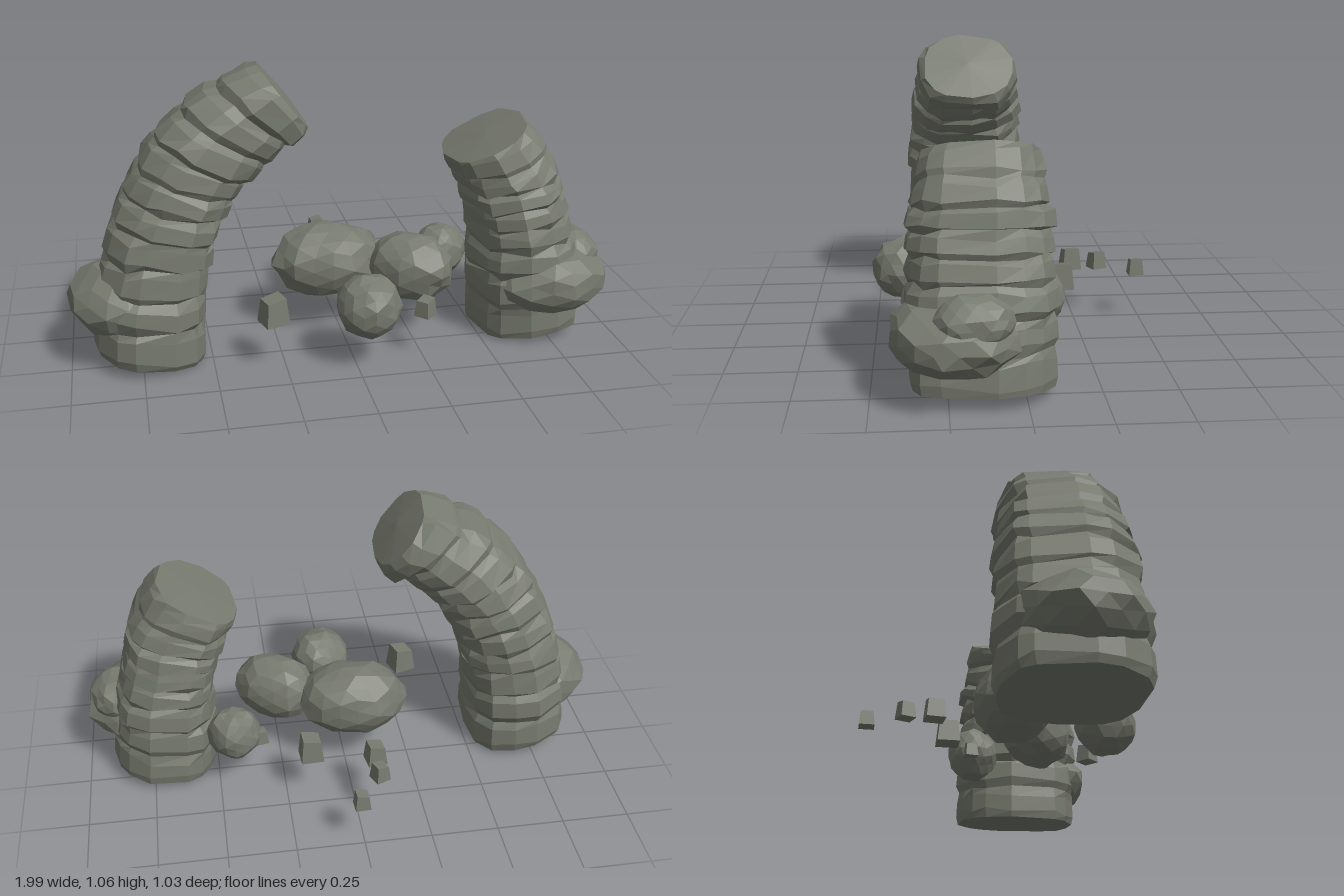
import * as THREE from 'three';

const stone = new THREE.MeshStandardMaterial({ color: 0x777a6f });
stone.name = 'grey stone';

// Repeatable value in -1..1 from three numbers
function noise(a, b, c) {
  const s = Math.sin(a * 127.1 + b * 311.7 + c * 74.7) * 43758.5453;
  return (s - Math.floor(s)) * 2 - 1;
}

function faceted(geometry, name) {
  const flat = geometry.index ? geometry.toNonIndexed() : geometry;
  flat.computeVertexNormals();
  const mesh = new THREE.Mesh(flat, stone);
  mesh.name = name;
  return mesh;
}

// Layered, leaning column. Each section is [x0, y0, x1, y1, centreZ, halfZ]:
// its two edge points in the front plane and its depth.
function column(name, sections, layers, seed) {
  const sides = 14;
  const curve = (a, b) => new THREE.CatmullRomCurve3(
    sections.map(s => new THREE.Vector3(s[a], s[b], 0)));
  const edge0 = curve(0, 1), edge1 = curve(2, 3);
  const depth = new THREE.CatmullRomCurve3(sections.map(s => new THREE.Vector3(s[4], s[5], 0)));

  // Three rings to a layer: recessed seam, bulging rim, upper shoulder
  const rings = [];
  for (let i = 0; i < layers; i++) {
    const bulge = 0.03 * noise(i, seed, 1);
    rings.push([i / layers, 0.965], [(i + 0.22) / layers, 1.04 + bulge], [(i + 0.75) / layers, 1.02 + bulge]);
  }
  rings[0][1] = 1;
  rings.push([1, 0.95]);

  const pos = [], index = [];
  const roundish = v => Math.sign(v) * Math.pow(Math.abs(v), 0.78);
  rings.forEach(([t, scale], r) => {
    const p = edge0.getPoint(t), q = edge1.getPoint(t), d = depth.getPoint(t);
    const mid = p.clone().add(q).multiplyScalar(0.5);
    const half = q.clone().sub(p).multiplyScalar(0.5);
    const inner = r > 0 && r < rings.length - 1;
    for (let j = 0; j < sides; j++) {
      const angle = (j + 0.25 * noise(j, seed, 2)) / sides * Math.PI * 2;
      const s = scale + 0.035 * noise(Math.floor(r / 3), j, seed);
      const u = roundish(Math.cos(angle)) * s, w = roundish(Math.sin(angle)) * s;
      const lift = inner ? 0.012 * noise(r, j, seed + 5) : 0;
      pos.push(mid.x + half.x * u, Math.max(0, mid.y + half.y * u + lift), d.x + d.y * w);
    }
  });
  for (let r = 0; r < rings.length - 1; r++) {
    for (let j = 0; j < sides; j++) {
      const a = r * sides + j, b = r * sides + (j + 1) % sides;
      index.push(a, a + sides, b, b, a + sides, b + sides);
    }
  }
  // End caps, the upper one slightly domed
  const first = sections[0], last = sections[sections.length - 1];
  const base = pos.length / 3, top = (rings.length - 1) * sides;
  pos.push((first[0] + first[2]) / 2, (first[1] + first[3]) / 2, first[4]);
  pos.push((last[0] + last[2]) / 2 + 0.005, (last[1] + last[3]) / 2 + 0.012, last[4]);
  for (let j = 0; j < sides; j++) {
    const k = (j + 1) % sides;
    index.push(base, j, k, base + 1, top + k, top + j);
  }
  const geo = new THREE.BufferGeometry();
  geo.setAttribute('position', new THREE.Float32BufferAttribute(pos, 3));
  geo.setIndex(index);
  return faceted(geo, name);
}

// Rough boulder: a ball with its corners pushed in and out
function boulder(name, [x, y, z], [rx, ry, rz], turn, seed) {
  const geo = new THREE.IcosahedronGeometry(1, 2);
  const p = geo.attributes.position, v = new THREE.Vector3();
  for (let i = 0; i < p.count; i++) {
    v.fromBufferAttribute(p, i);
    const [a, b, c] = v.toArray().map(n => Math.round(n * 50) / 50 + 0);
    v.multiplyScalar(1 + 0.055 * noise(a + seed, b, c));
    p.setXYZ(i, v.x * rx, v.y * ry, v.z * rz);
  }
  geo.rotateY(turn);
  geo.translate(x, y, z);
  return faceted(geo, name);
}

// Small chip: a block narrower at the top
function chip([x, y, z], size, turn) {
  const geo = new THREE.BoxGeometry(size, size * 1.05, size);
  const p = geo.attributes.position;
  for (let i = 0; i < p.count; i++) {
    if (p.getY(i) > 0) p.setXYZ(i, p.getX(i) * 0.78, p.getY(i) + p.getX(i) * 0.15, p.getZ(i) * 0.78);
  }
  geo.rotateY(turn);
  geo.translate(x, y, z);
  return faceted(geo, 'stoneChip');
}

export function createModel() {
  const model = new THREE.Group();
  model.name = 'brokenStoneArch';

  // Two broken halves of the arch
  model.add(column('tallArchHalf', [
    [-0.91, 0.05, -0.52, 0.00, 0.14, 0.235],
    [-0.90, 0.25, -0.51, 0.20, 0.14, 0.24],
    [-0.87, 0.40, -0.49, 0.35, 0.14, 0.235],
    [-0.82, 0.56, -0.46, 0.47, 0.14, 0.23],
    [-0.75, 0.70, -0.41, 0.58, 0.14, 0.225],
    [-0.66, 0.83, -0.34, 0.67, 0.14, 0.21],
    [-0.51, 0.96, -0.24, 0.75, 0.14, 0.19],
    [-0.31, 1.06, -0.13, 0.83, 0.14, 0.18],
  ], 10, 3));
  model.add(column('shortArchHalf', [
    [0.51, 0.00, 0.90, 0.05, 0.14, 0.235],
    [0.50, 0.20, 0.88, 0.25, 0.14, 0.24],
    [0.50, 0.36, 0.85, 0.41, 0.14, 0.235],
    [0.48, 0.48, 0.81, 0.54, 0.14, 0.23],
    [0.44, 0.57, 0.78, 0.66, 0.135, 0.22],
    [0.38, 0.67, 0.68, 0.82, 0.13, 0.205],
  ], 8, 11));

  // Boulders against the feet and between them
  model.add(
    boulder('tallFootBoulder', [-0.79, 0.24, 0.16], [0.21, 0.14, 0.22], 0, 1),
    boulder('shortFootBoulder', [0.76, 0.22, 0.22], [0.235, 0.13, 0.225], 0.2, 2),
    boulder('shortFootUpperStone', [0.87, 0.29, 0.17], [0.1, 0.09, 0.13], 0.2, 3),
    boulder('largeBoulder', [-0.04, 0.265, 0.04], [0.21, 0.14, 0.15], 0, 4),
    boulder('middleBoulder', [0.255, 0.26, 0.165], [0.165, 0.13, 0.125], -0.6, 5),
    boulder('frontBoulder', [0.045, 0.225, 0.395], [0.115, 0.115, 0.115], 0, 6),
    boulder('backBoulder', [0.435, 0.225, -0.065], [0.1, 0.105, 0.095], 0, 7),
  );

  // Scattered chips: x, y, z, size, turn
  for (const [x, y, z, size, turn] of [
    [-0.29, 0.215, 0.35, 0.088, 0.3], [0.26, 0.185, 0.365, 0.06, 0.75],
    [0.01, 0.198, -0.485, 0.056, 0.05], [-0.08, 0.202, -0.348, 0.058, 0.4],
    [-0.08, 0.21, -0.245, 0.072, 0.15], [0.155, 0.213, -0.182, 0.085, 0.05],
    [0.335, 0.21, -0.08, 0.05, 0.2],
  ]) model.add(chip([x, y, z], size, turn));

  return model;
}
